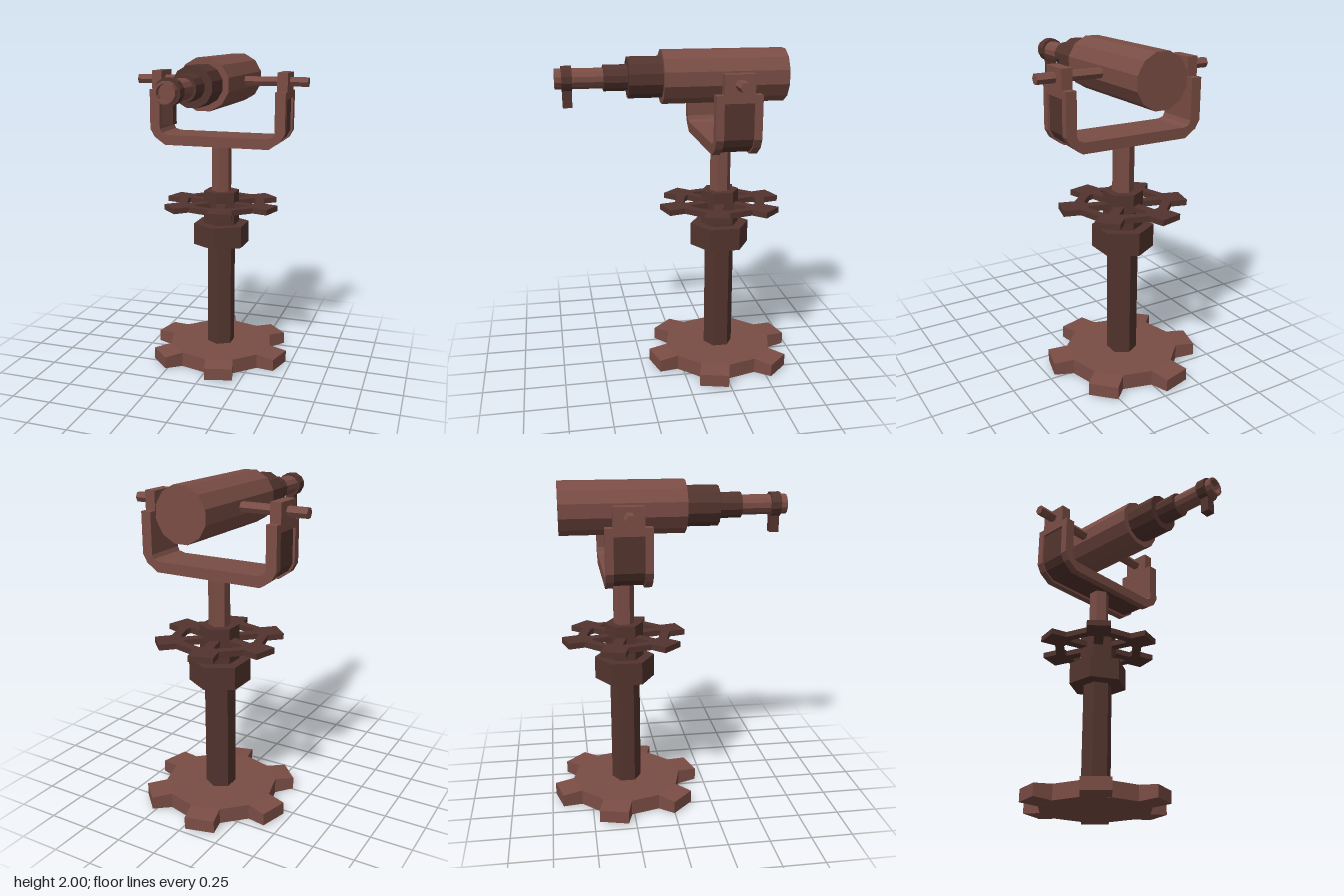
import * as THREE from 'three';

const light = new THREE.MeshStandardMaterial({ color: 0x7a4d45, flatShading: true, side: THREE.DoubleSide });
const dark = new THREE.MeshStandardMaterial({ color: 0x53342e, flatShading: true, side: THREE.DoubleSide });

export function createModel() {
  const model = new THREE.Group();
  model.name = 'swivelTelescope';
  // everything is laid out around the pedestal axis
  model.position.set(0.005, 0, -0.265);

  const add = (name, geo, mat, x = 0, y = 0, z = 0, parent = model) => {
    const mesh = new THREE.Mesh(geo, mat);
    mesh.name = name;
    mesh.position.set(x, y, z);
    parent.add(mesh);
    return mesh;
  };
  const group = (name, y = 0) => {
    const g = new THREE.Group();
    g.name = name;
    g.position.y = y;
    model.add(g);
    return g;
  };
  const column = (name, r, y0, y1, mat, sides = 6) =>
    add(name, new THREE.CylinderGeometry(r, r, y1 - y0, sides), mat, 0, (y0 + y1) / 2);

  // toothed base: twelve-sided disc with six slightly tapered teeth
  column('baseDisc', 0.345, 0, 0.095, light, 12);
  const toothAngles = Array.from({ length: 6 }, (_, i) => Math.PI / 12 + (i * Math.PI) / 3);
  for (const a of toothAngles) {
    const tooth = new THREE.BoxGeometry(0.178, 0.095, 0.125);
    const pos = tooth.attributes.position;
    for (let i = 0; i < pos.count; i++) if (pos.getZ(i) > 0) pos.setY(i, pos.getY(i) * 0.8);
    tooth.translate(0, 0, 0.3925).rotateY(a);
    add('baseTooth', tooth, light, 0, 0.0475, 0);
  }

  // hexagonal pedestal
  column('post', 0.0925, 0.09, 0.785, dark);
  column('collar', 0.185, 0.785, 0.925, dark);
  column('wheelHub', 0.118, 0.925, 1.14, dark);
  column('upperPost', 0.064, 1.14, 1.45, light);

  // spoked handwheel with six grips
  const point = (a, side, out) => new THREE.Vector2(
    Math.sin(a) * out + Math.cos(a) * side, Math.cos(a) * out - Math.sin(a) * side);
  const rim = [];
  for (const a of toothAngles)
    rim.push(point(a, -0.074, 0.276), point(a, -0.074, 0.376), point(a, 0.074, 0.376), point(a, 0.074, 0.276));
  const wheel = new THREE.Shape(rim);
  for (const a of toothAngles) {
    const b = a + Math.PI / 3;
    wheel.holes.push(new THREE.Path([
      point(a, 0.03, 0.075), point(a, 0.03, 0.222), point(a, 0.06, 0.222),
      point(b, -0.06, 0.222), point(b, -0.03, 0.222), point(b, -0.03, 0.075),
    ]));
  }
  const wheelGeo = new THREE.ExtrudeGeometry(wheel, { depth: 0.035, bevelEnabled: false });
  add('handwheel', wheelGeo.rotateX(Math.PI / 2), dark, 0, 1.07, 0);

  // U-shaped yoke, as bands lying between two insets from its outer edge
  const yoke = group('yoke');
  const edge = (d, top) => {
    const half = [[0.44 - d, top], [0.44 - d, 1.54], [0.412 - d * 0.75, 1.49 + d * 0.4],
      [0.34 - d * 0.2, 1.44 + d]];
    return [...half, ...half.map(([x, y]) => [-x, y]).reverse()];
  };
  const band = (name, d0, d1, z0, z1, mat) => {
    const pts = [...edge(d0, 1.79), ...edge(d1, 1.79).reverse()].map(p => new THREE.Vector2(...p));
    const geo = new THREE.ExtrudeGeometry(new THREE.Shape(pts), { depth: z1 - z0, bevelEnabled: false });
    add(name, geo, mat, 0, 0, z0, yoke);
  };
  band('yokeFrontRim', 0, 0.065, 0.087, 0.132, light);
  band('yokeBackRim', 0, 0.065, -0.132, -0.087, light);
  band('yokeWeb', 0.025, 0.065, -0.087, 0.087, light);
  band('yokePanel', 0.014, 0.025, -0.087, 0.087, dark);
  for (const s of [-1, 1])
    add('yokeLug', new THREE.BoxGeometry(0.066, 0.16, 0.174), light, s * 0.4075, 1.825, 0, yoke);

  // hexagonal pivot rod through the lugs and the tube
  const rod = new THREE.CylinderGeometry(0.032, 0.032, 1.115, 6);
  add('pivotRod', rod.rotateZ(Math.PI / 2), light, -0.005, 1.847, 0);

  // telescope: stepped twelve-sided sections along z
  const scope = group('telescope', 1.845);
  const section = (name, r, z0, z1, mat) => {
    const geo = new THREE.CylinderGeometry(r, r, z1 - z0, 12, 1, false, Math.PI / 12);
    add(name, geo.rotateX(Math.PI / 2), mat, 0, 0, (z0 + z1) / 2, scope);
  };
  section('mainTube', 0.16, -0.375, 0.37, light);
  section('middleTube', 0.122, 0.37, 0.57, dark);
  section('smallTube', 0.077, 0.57, 0.71, dark);
  section('eyepieceRing', 0.075, 0.89, 0.95, dark);
  // eyepiece with a hollow end
  const profile = [[0.06, 0.7], [0.06, 0.99], [0.046, 0.99], [0.046, 0.955], [0, 0.955]];
  const eyepiece = new THREE.LatheGeometry(profile.map(p => new THREE.Vector2(...p)), 12, Math.PI / 12);
  add('eyepiece', eyepiece.rotateX(Math.PI / 2), light, 0, 0, 0, scope);
  add('focusTab', new THREE.BoxGeometry(0.06, 0.11, 0.055), dark, 0, -0.11, 0.92, scope);

  return model;
}
